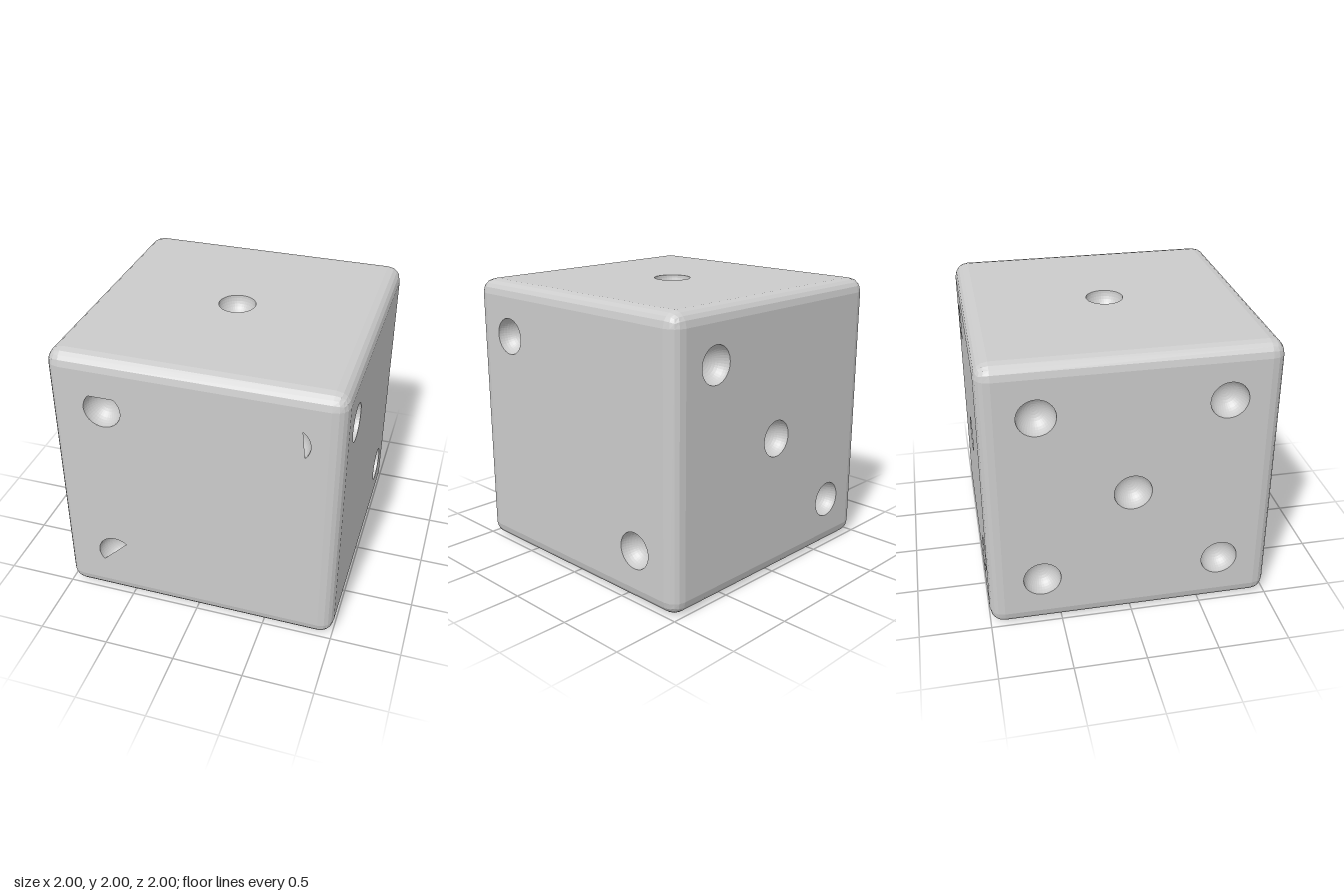
import * as THREE from 'three';
import { RoundedBoxGeometry } from 'three/addons/geometries/RoundedBoxGeometry.js';

const R = 0.13;      // pip radius
const BEVEL = 0.1;   // edge rounding
const FLAT = 1 - BEVEL;
const P = 0.63;      // pip offset from the face centre
const HALF = Math.PI / 2;

const material = new THREE.MeshStandardMaterial({ color: 0xcccccc, flatShading: true });
const dentMaterial = new THREE.MeshStandardMaterial({ color: 0xcccccc, flatShading: true, side: THREE.BackSide });

// Each pip: [u, v] or [u, v, angle, distance]. The last two describe a straight
// cut: only the part beyond that distance along that angle (degrees) is open.
const faces = [
  { name: 'frontFace', rot: [0, 0], pips: [
    [-0.615, 0.62, -90, -0.095], [-0.61, -0.62, 135, 0.009], [0.655, 0.62, 5.9, 0.086]] },
  { name: 'backFace', rot: [0, Math.PI], pips: [[-P, P], [0, 0], [P, -P]] },
  { name: 'rightFace', rot: [0, HALF], pips: [[-0.64, 0.62], [P, -0.625]] },
  { name: 'leftFace', rot: [0, -HALF], pips: [[-P, P], [P, P], [0, 0], [-P, -P], [P, -P]] },
  { name: 'topFace', rot: [-HALF, 0], pips: [[0, 0]] },
  { name: 'bottomFace', rot: [HALF, 0], pips: [
    [0.64, 0.64, 126, -0.11], [0, 0.64, 18, -0.046], [-0.62, 0.64, 44, 0.02], [0.63, -0.64, -73.6, 0.108]] },
];

// Rounded edges and corners only: the six flat centres are left out
function bevelGeometry() {
  const box = new RoundedBoxGeometry(2, 2, 2, 2, BEVEL);
  const src = box.index ? box.toNonIndexed() : box;
  const pos = src.attributes.position;
  const kept = [];
  for (let i = 0; i < pos.count; i += 3) {
    const tri = [0, 1, 2].map(k => new THREE.Vector3().fromBufferAttribute(pos, i + k));
    const isFlat = ['x', 'y', 'z'].some(a =>
      tri.every(p => p[a] > 0.9999) || tri.every(p => p[a] < -0.9999));
    if (!isFlat) tri.forEach(p => kept.push(p.x, p.y, p.z));
  }
  const geo = new THREE.BufferGeometry();
  geo.setAttribute('position', new THREE.Float32BufferAttribute(kept, 3));
  geo.computeVertexNormals();
  return geo;
}

// Circular opening, or a circle segment where a cut is given
function pipOpening([u, v, angle, cut]) {
  const path = new THREE.Path();
  if (cut === undefined) return path.absarc(u, v, R, 0, Math.PI * 2, false);
  const mid = THREE.MathUtils.degToRad(angle);
  const spread = Math.acos(cut / R);
  path.absarc(u, v, R, mid - spread, mid + spread, false);
  path.closePath();
  return path;
}

function buildFace({ name, rot, pips }) {
  const face = new THREE.Group();
  face.name = name;

  // Flat panel with pip openings
  const shape = new THREE.Shape([
    new THREE.Vector2(-FLAT, -FLAT), new THREE.Vector2(FLAT, -FLAT),
    new THREE.Vector2(FLAT, FLAT), new THREE.Vector2(-FLAT, FLAT)]);
  shape.holes = pips.map(pipOpening);
  const panel = new THREE.Mesh(new THREE.ShapeGeometry(shape, 20), material);
  panel.name = 'panel';
  panel.position.z = 1;
  face.add(panel);

  // Hemispherical dents sunk behind the openings
  const bowl = new THREE.SphereGeometry(R, 40, 10, 0, Math.PI * 2, 0, HALF).rotateX(-HALF);
  for (const [u, v] of pips) {
    const dent = new THREE.Mesh(bowl, dentMaterial);
    dent.name = 'pip';
    dent.position.set(u, v, 1);
    face.add(dent);
  }
  face.rotation.set(rot[0], rot[1], 0);
  face.position.y = 1;
  return face;
}

export function createModel() {
  const die = new THREE.Group();
  die.name = 'die';
  const edges = new THREE.Mesh(bevelGeometry(), material);
  edges.name = 'roundedEdges';
  edges.position.y = 1;
  die.add(edges);
  faces.forEach(f => die.add(buildFace(f)));
  return die;
}
